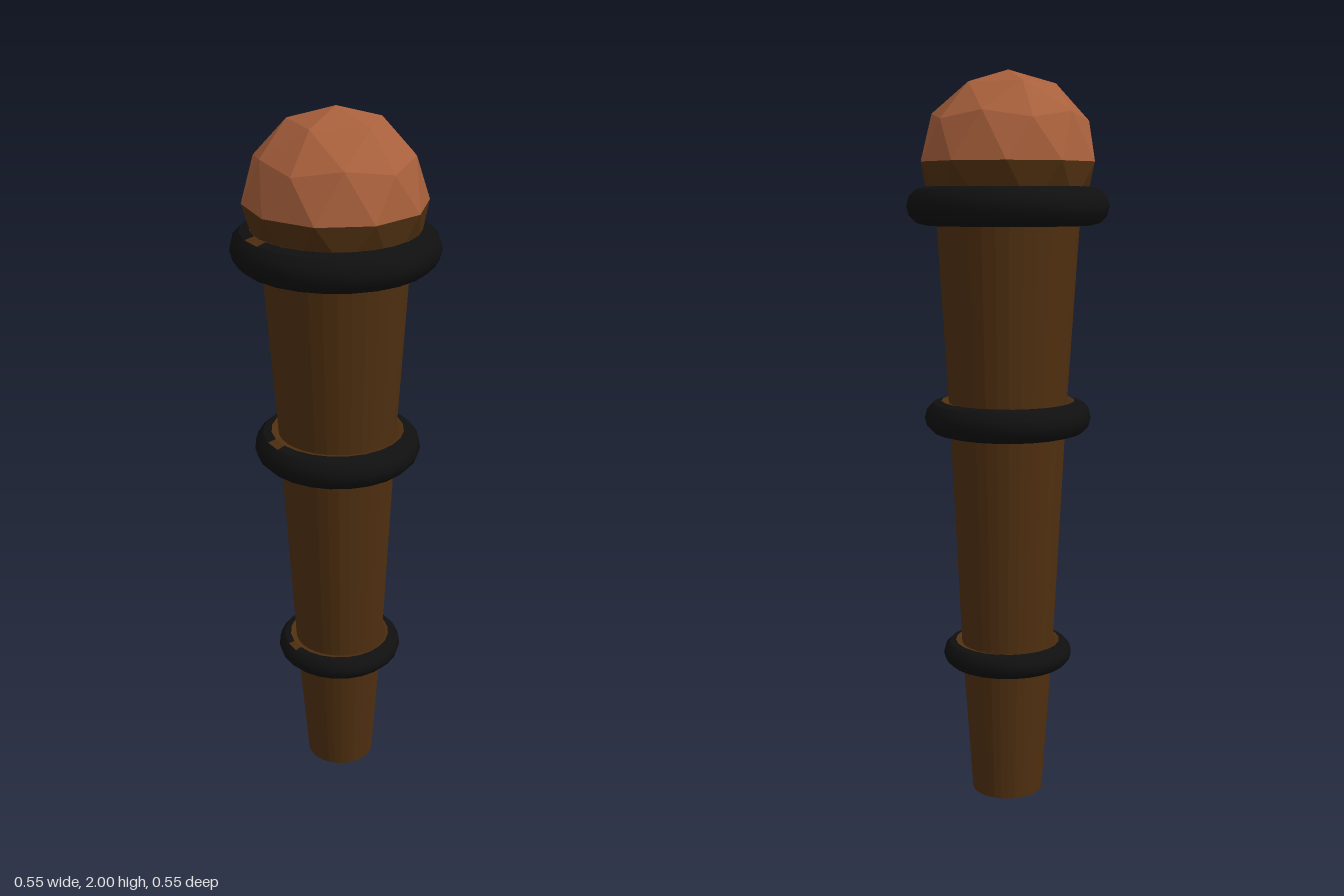
import * as THREE from 'three';

const wood = new THREE.MeshStandardMaterial({ color: 0x4f2f10 });
const woodFlat = new THREE.MeshStandardMaterial({ color: 0x4f2f10, flatShading: true });
const copper = new THREE.MeshStandardMaterial({ color: 0xa8603c, flatShading: true });
const black = new THREE.MeshStandardMaterial({ color: 0x101010 });

const TOP = 1.64;
const BALL_Y = 1.757;

// The handle leans slightly: offset of its axis at a given height
const leanX = (y) => 0.036 * (1 - y / TOP);
const leanZ = (y) => -0.047 * (1 - y / TOP);

function mesh(name, geometry, material) {
  const m = new THREE.Mesh(geometry, material);
  m.name = name;
  return m;
}

// Tapered, leaning handle with closed ends
function makeHandle() {
  const profile = [[0, 0], [0.098, 0], [0.127, 0.4], [0.161, 1.065], [0.198, TOP], [0, TOP]];
  const lathe = new THREE.LatheGeometry(profile.map(([r, y]) => new THREE.Vector2(r, y)), 32);
  const geo = lathe.toNonIndexed();
  const p = geo.attributes.position;
  for (let i = 0; i < p.count; i++) {
    const y = p.getY(i);
    p.setXYZ(i, p.getX(i) + leanX(y), y, p.getZ(i) + leanZ(y));
  }
  geo.computeVertexNormals();
  return mesh('handle', geo, woodFlat);
}

// Band of a ring between two angles of its round section (degrees, 30 per side)
function ringBand(R, tube, from, to, phiStart = 0, segments = 24) {
  const pts = [];
  for (let a = from; a <= to; a += 30) {
    const t = THREE.MathUtils.degToRad(a);
    pts.push(new THREE.Vector2(R + tube * Math.cos(t), tube * Math.sin(t)));
  }
  return new THREE.LatheGeometry(pts, segments, phiStart, segments * Math.PI / 12);
}

// Black ring with a wooden inner side and one small wooden patch
function makeRing(name, y, R, tube) {
  const ring = new THREE.Group();
  ring.name = name;
  const patch = Math.PI * 1.5;
  ring.add(
    mesh('ringOuter', ringBand(R, tube, -90, 60), black),
    mesh('ringTop', ringBand(R, tube, 60, 90, patch + Math.PI / 12, 23), black),
    mesh('ringPatch', ringBand(R, tube, 60, 90, patch, 1), wood),
    mesh('ringInner', ringBand(R, tube, 90, 270), wood)
  );
  ring.position.set(leanX(y), y, leanZ(y));
  return ring;
}

// Faceted ball with a corner at the pole; keeps its upper or lower half
function halfBall(upper) {
  const ball = new THREE.IcosahedronGeometry(0.243, 1);
  ball.rotateZ(-Math.atan(2 / (1 + Math.sqrt(5))));
  const p = ball.attributes.position;
  const kept = [];
  for (let i = 0; i < p.count; i += 3) {
    const middle = p.getY(i) + p.getY(i + 1) + p.getY(i + 2);
    if ((middle > 0) !== upper) continue;
    for (let j = i; j < i + 3; j++) kept.push(p.getX(j), p.getY(j), p.getZ(j));
  }
  const geo = new THREE.BufferGeometry();
  geo.setAttribute('position', new THREE.Float32BufferAttribute(kept, 3));
  geo.computeVertexNormals();
  geo.translate(0, BALL_Y, 0);
  return geo;
}

export function createModel() {
  const model = new THREE.Group();
  model.name = 'club';
  model.add(
    makeHandle(),
    makeRing('lowerRing', 0.398, 0.146, 0.034),
    makeRing('middleRing', 1.065, 0.184, 0.046),
    makeRing('upperRing', TOP, 0.225, 0.052),
    mesh('ballTop', halfBall(true), copper),
    mesh('ballSocket', halfBall(false), woodFlat)
  );
  return model;
}
